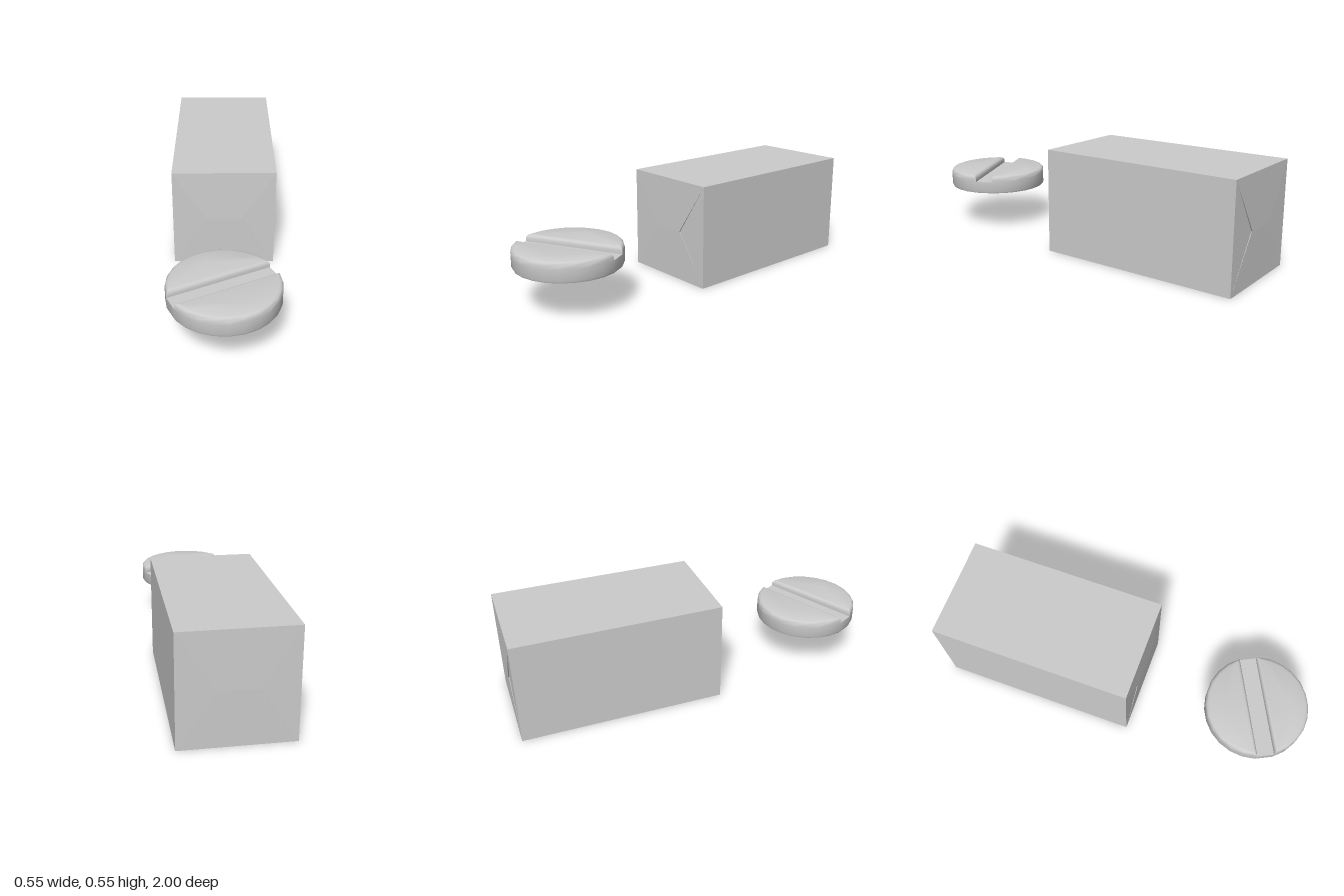
import * as THREE from 'three';
import { toCreasedNormals } from 'three/addons/utils/BufferGeometryUtils.js';

const grey = new THREE.MeshStandardMaterial({ color: 0xcccccc });

function mesh(name, geometry) {
  const m = new THREE.Mesh(geometry, grey);
  m.name = name;
  return m;
}

function fromTriangles(points, index, crease) {
  const g = new THREE.BufferGeometry();
  g.setAttribute('position', new THREE.Float32BufferAttribute(points.flat(), 3));
  g.setIndex(index);
  return toCreasedNormals(g, crease);
}

// Skin between stacked rings (counter-clockwise from above), capped at both ends
function loft(rings) {
  const n = rings[0].length, last = (rings.length - 1) * n;
  const points = rings.flat(), index = [];
  for (let r = 0; r < rings.length - 1; r++) {
    for (let i = 0; i < n; i++) {
      const a = r * n + i, b = r * n + (i + 1) % n;
      index.push(a, b, b + n, a, b + n, a + n);
    }
  }
  const centre = (ring) => [0, 1, 2].map((k) => ring.reduce((s, p) => s + p[k], 0) / n);
  const top = points.length, bottom = top + 1;
  points.push(centre(rings[rings.length - 1]), centre(rings[0]));
  for (let i = 0; i < n; i++) {
    const j = (i + 1) % n;
    index.push(top, last + i, last + j, bottom, j, i);
  }
  return fromTriangles(points, index, 0.85);
}

// Tablet: a disc with a diagonal score groove between two rounded halves
const R = 0.275, GROOVE = 0.046, FLOOR = 0.293;

function halfOutline(inset, y) {
  const r = R - inset, a = Math.acos((GROOVE + inset) / r), ring = [];
  for (let i = 0; i <= 11; i++) {
    const t = Math.PI / 2 - a + (2 * a * i) / 11;
    ring.push([r * Math.cos(t), y, -r * Math.sin(t)]);
  }
  return ring;
}

function fullOutline(scale, y) {
  const half = halfOutline(0, y).map(([x, h, z]) => [x * scale, h, z * scale]);
  return half.concat(half.map(([x, h, z]) => [-x, h, -z]));
}

function createTablet() {
  const tablet = new THREE.Group();
  tablet.name = 'tablet';
  tablet.add(mesh('tabletBase', loft([
    fullOutline(0.985, 0.228), fullOutline(1, 0.238), fullOutline(1, FLOOR),
  ])));
  const profile = [[0, FLOOR], [0, 0.31], [0.003, 0.319], [0.009, 0.326], [0.02, 0.33]];
  const half = loft(profile.map(([inset, y]) => halfOutline(inset, y)));
  ['tabletBackHalf', 'tabletFrontHalf'].forEach((name, i) => {
    const m = mesh(name, half);
    m.rotation.y = i * Math.PI;
    tablet.add(m);
  });
  tablet.rotation.y = 0.467;
  tablet.position.z = 0.724;
  return tablet;
}

// Wrapped packet: a box with folded flaps on both ends
const W = 0.275, H = 0.553, L = 1.073;

// Wedge flap rising from the box edge at y0 to its raised free edge at y1
function flap(y0, y1, innerX, lift) {
  const s = Math.sign(y1 - y0), z = L / 2;
  const points = [
    [-W * s, y0, z], [W * s, y0, z],
    [innerX * s, y1, z + lift], [-innerX * s, y1, z + lift],
    [innerX * s, y1, z], [-innerX * s, y1, z],
  ];
  return fromTriangles(points, [0, 1, 2, 0, 2, 3, 2, 1, 4, 3, 2, 4, 3, 4, 5, 0, 3, 5], 0.3);
}

function createPacket() {
  const packet = new THREE.Group();
  packet.name = 'packet';
  const box = mesh('packetBox', new THREE.BoxGeometry(2 * W, H, L));
  box.position.y = H / 2;
  packet.add(box);
  ['front', 'back'].forEach((side, i) => {
    const end = new THREE.Group();
    end.name = side + 'Flaps';
    end.add(mesh('upperFlap', flap(H, 0.274, 0.094, 0.007)));
    end.add(mesh('lowerFlap', flap(0, 0.274, 0.094, 0.003)));
    end.rotation.y = i * Math.PI;
    packet.add(end);
  });
  packet.position.z = -0.4565;
  return packet;
}

export function createModel() {
  const model = new THREE.Group();
  model.name = 'packetAndTablet';
  model.add(createPacket(), createTablet());
  return model;
}
